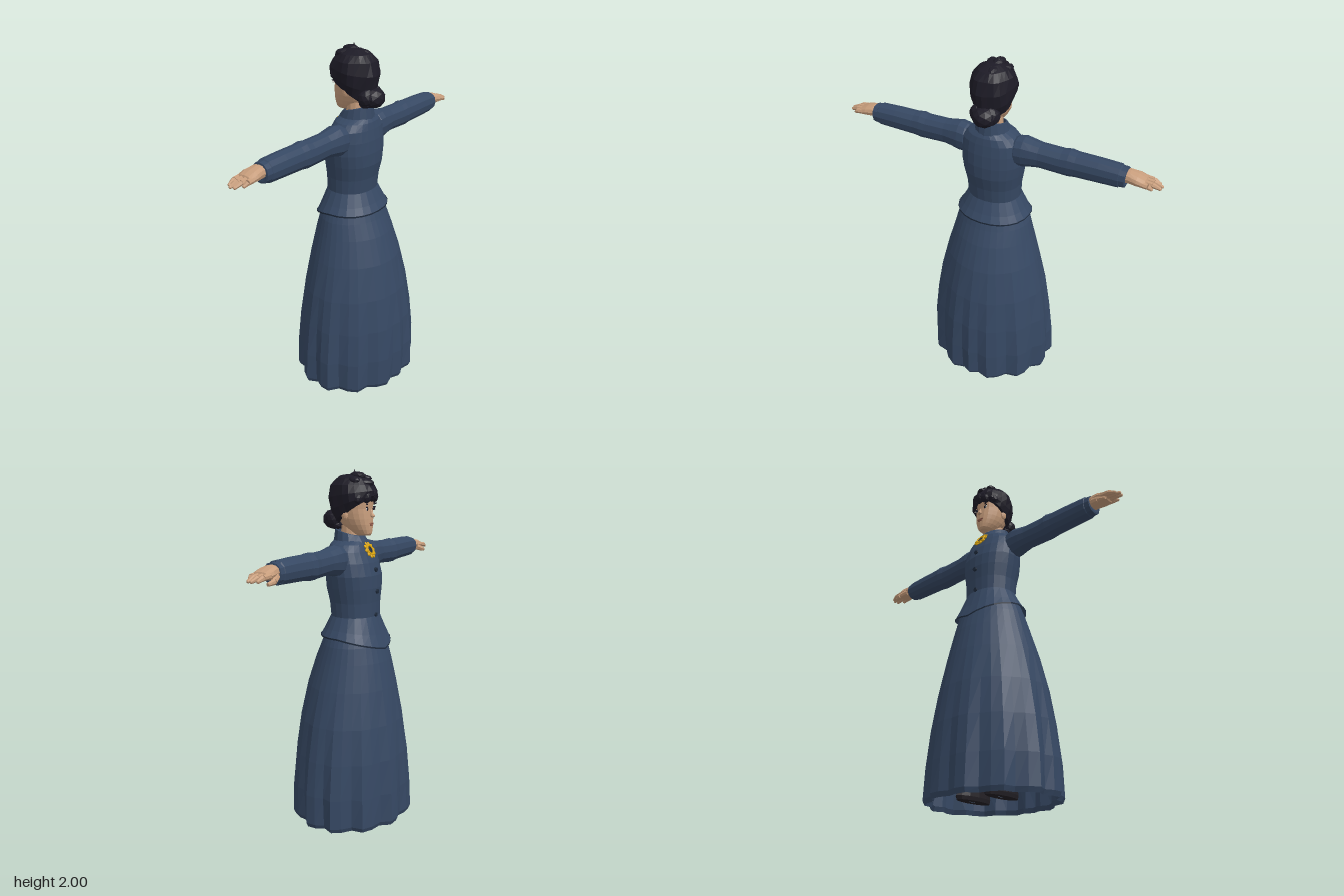
import * as THREE from 'three';

const mat = (name, color, side = THREE.FrontSide) => {
  const m = new THREE.MeshStandardMaterial({ color, flatShading: true, side });
  m.name = name;
  return m;
};
const cloth = mat('blue cloth', 0x364863, THREE.DoubleSide);
const trim = mat('dark blue trim', 0x1f2b3c, THREE.DoubleSide);
const skin = mat('skin', 0xc79d7c);
const hair = mat('black hair', 0x1d1b26, THREE.DoubleSide);
const gold = mat('gold', 0xd9a30c);
const boot = mat('boot leather', 0x221f24);
const white = mat('eye white', 0xd8d2ca);
const lip = mat('lip', 0x96604f);

// Skin over rings listed bottom to top: [y, halfWidth, zFront, zBack, xOffset, frontLift].
// Optional radial(angle, ring, column) scales each point outwards.
function loft(rings, n, { e = 1, radial = () => 1 } = {}) {
  const pos = [], index = [];
  const pow = v => Math.sign(v) * Math.abs(v) ** e;
  rings.forEach(([y, w, zf, zb, cx = 0, lift = 0], j) => {
    for (let i = 0; i < n; i++) {
      const a = (i / n) * Math.PI * 2, s = Math.sin(a), c = Math.cos(a), r = radial(a, j, i);
      const rise = typeof lift === 'function' ? lift(c) : -c * lift;
      pos.push(cx + w * pow(s) * r, y + rise, (zf + zb) / 2 + ((zb - zf) / 2) * pow(c) * r);
      if (j < rings.length - 1) {
        const p = j * n + i, q = j * n + (i + 1) % n;
        index.push(p, q, q + n, p, q + n, p + n);
      }
    }
  });
  const g = new THREE.BufferGeometry();
  g.setAttribute('position', new THREE.Float32BufferAttribute(pos, 3));
  g.setIndex(index);
  g.computeVertexNormals();
  return g;
}

function add(parent, name, geometry, material, [x, y, z] = [0, 0, 0], scale = [1, 1, 1], rot = [0, 0, 0]) {
  const m = new THREE.Mesh(geometry, material);
  m.name = name;
  m.position.set(x, y, z);
  m.scale.set(...scale);
  m.rotation.set(...rot);
  parent.add(m);
  return m;
}

// Tapered rod between two points
function limb(parent, name, a, b, r1, r2, material) {
  const A = new THREE.Vector3(...a), d = new THREE.Vector3(...b).sub(A);
  const m = add(parent, name, new THREE.CylinderGeometry(r2, r1, d.length(), 7), material);
  m.position.copy(A).addScaledVector(d, 0.5);
  m.quaternion.setFromUnitVectors(new THREE.Vector3(0, 1, 0), d.normalize());
}

const ball = new THREE.SphereGeometry(1, 10, 7);
const lump = new THREE.IcosahedronGeometry(1, 1);

function addSkirt(root) {
  // Long flared skirt whose pleats deepen towards the hem
  const rings = [
    [0.03, 0.375, -0.33, 0.335], [0.004, 0.387, -0.342, 0.348], [0.03, 0.398, -0.352, 0.36],
    [0.2, 0.392, -0.343, 0.356], [0.4, 0.367, -0.325, 0.338], [0.6, 0.331, -0.295, 0.306],
    [0.8, 0.28, -0.256, 0.26], [0.95, 0.237, -0.222, 0.21], [1.04, 0.214, -0.197, 0.172], [1.13, 0.18, -0.17, 0.14]];
  const n = 38, fold = [0, 0.35, 1];
  add(root, 'skirt', loft(rings, n, {
    e: 1.06,
    radial: (a, j, i) => {
      const t = Math.max(0, 1 - rings[j][0] / 0.95);
      return 1 - 0.095 * t ** 1.4 * fold[(Math.min(i, n - i) + 1) % 3];
    },
  }), cloth);
}

function addJacket(root) {
  // Fitted bodice with a hem falling to a point in front
  const dip = k => c => -0.07 * k * Math.max(0, 1 - Math.acos(-c) / (Math.PI * 0.5)) ** 1.15;
  const hem = { e: 0.92 };
  add(root, 'bodice', loft([
    [1.098, 0.195, -0.19, 0.15, 0, dip(1)], [1.09, 0.212, -0.21, 0.168, 0, dip(1)],
    [1.13, 0.187, -0.183, 0.145, 0, dip(0.5)], [1.2, 0.15, -0.148, 0.112], [1.28, 0.154, -0.15, 0.12],
    [1.36, 0.168, -0.156, 0.138], [1.43, 0.178, -0.153, 0.14], [1.5, 0.176, -0.134, 0.135],
    [1.56, 0.166, -0.108, 0.126], [1.597, 0.132, -0.092, 0.118], [1.62, 0.085, -0.075, 0.105]], 24, hem), cloth);
  add(root, 'jacketHem', loft([[1.084, 0.213, -0.211, 0.169, 0, dip(1)], [1.093, 0.213, -0.211, 0.169, 0, dip(1)]], 24, hem), trim);
  add(root, 'collar', loft([
    [1.595, 0.1, -0.094, 0.112], [1.615, 0.094, -0.084, 0.11], [1.662, 0.081, -0.062, 0.102, 0, -0.02],
    [1.664, 0.073, -0.054, 0.094, 0, -0.02], [1.62, 0.072, -0.06, 0.09]], 16), cloth);
  [[1.46, -0.146], [1.34, -0.156], [1.207, -0.148]].forEach(([y, z]) =>
    add(root, 'button', new THREE.CylinderGeometry(0.012, 0.014, 0.014, 10), trim, [0, y, z], [1, 1, 1], [-Math.PI / 2, 0, 0]));

  // Flower brooch at the throat
  const brooch = new THREE.Group();
  brooch.name = 'brooch';
  brooch.position.set(0, 1.567, -0.108);
  brooch.rotation.x = 0.5;
  root.add(brooch);
  add(brooch, 'broochRing', new THREE.TorusGeometry(0.027, 0.009, 6, 16), gold);
  add(brooch, 'broochCentre', ball, trim, [0, 0, 0], [0.022, 0.022, 0.008]);
  for (let i = 0; i < 10; i++) {
    const a = (i / 10) * Math.PI * 2;
    add(brooch, 'petal', ball, gold, [Math.cos(a) * 0.037, Math.sin(a) * 0.037, 0], [0.013, 0.01, 0.006], [0, 0, a]);
  }
}

function addArm(root, side) {
  const arm = new THREE.Group();
  arm.name = side > 0 ? 'leftArm' : 'rightArm';
  arm.scale.x = side;
  root.add(arm);
  const along = rings => loft(rings, 12, { e: 0.9 }).rotateZ(-Math.PI / 2).translate(0, 1.52, 0);
  // Sleeve with a gathered shoulder and an elbow crease
  add(arm, 'sleeve', along([
    [0.1, 0.05, -0.04, 0.06], [0.15, 0.08, -0.06, 0.08, 0.003], [0.19, 0.085, -0.062, 0.08, 0.001], [0.24, 0.074, -0.058, 0.074],
    [0.28, 0.068, -0.052, 0.068], [0.4, 0.069, -0.054, 0.066, 0.004], [0.44, 0.073, -0.06, 0.066, 0.003],
    [0.48, 0.067, -0.055, 0.064, 0.002], [0.6, 0.065, -0.052, 0.064], [0.71, 0.061, -0.05, 0.063],
    [0.715, 0.056, -0.045, 0.057]]), cloth);
  // Cuff closing on the wrist
  add(arm, 'cuff', along([[0.69, 0.05, -0.04, 0.055], [0.7, 0.055, -0.048, 0.062], [0.743, 0.053, -0.046, 0.06],
    [0.745, 0.043, -0.038, 0.05], [0.738, 0.01, -0.004, 0.01]]), cloth);
  // Hand, palm down
  add(arm, 'palm', along([[0.71, 0.036, -0.032, 0.044, -0.008], [0.76, 0.034, -0.042, 0.05, -0.01],
    [0.8, 0.03, -0.052, 0.057, -0.006], [0.84, 0.021, -0.048, 0.053, 0], [0.848, 0.004, -0.03, 0.035, 0]]), skin);
  [0.875, 0.912, 0.917, 0.9].forEach((tip, i) => {
    const z = 0.041 - i * 0.0255, mid = (0.835 + tip) / 2, end = z * 0.9;
    limb(arm, 'fingerBase', [0.82, 1.522, z], [mid, 1.518, z], 0.0155, 0.0145, skin);
    limb(arm, 'fingerTip', [mid, 1.518, z], [tip, 1.506, end], 0.0145, 0.009, skin);
    add(arm, 'fingerEnd', ball, skin, [tip, 1.506, end], [0.01, 0.009, 0.009]);
  });
  limb(arm, 'thumbBase', [0.765, 1.512, -0.033], [0.81, 1.495, -0.053], 0.019, 0.015, skin);
  limb(arm, 'thumbTip', [0.81, 1.495, -0.053], [0.852, 1.487, -0.048], 0.015, 0.009, skin);
}

function addHead(root) {
  add(root, 'neck', loft([[1.58, 0.06, -0.05, 0.075], [1.7, 0.052, -0.045, 0.065]], 12), skin);
  add(root, 'head', loft([
    [1.66, 0.01, -0.04, 0.0], [1.645, 0.026, -0.107, -0.03], [1.656, 0.04, -0.115, 0.0], [1.678, 0.056, -0.117, 0.03],
    [1.705, 0.07, -0.118, 0.06], [1.735, 0.08, -0.117, 0.08], [1.765, 0.085, -0.115, 0.09], [1.79, 0.088, -0.113, 0.1],
    [1.84, 0.09, -0.119, 0.1], [1.9, 0.08, -0.09, 0.09], [1.93, 0.02, -0.02, 0.02]], 20, { e: 0.9 }), skin);
  // Nose and mouth
  add(root, 'nose', new THREE.ConeGeometry(0.015, 0.05, 6), skin, [0, 1.772, -0.116], [1, 1, 1], [0.2, 0, 0]);
  add(root, 'noseTip', ball, skin, [0, 1.753, -0.124], [0.014, 0.01, 0.013]);
  add(root, 'upperLip', ball, lip, [0, 1.711, -0.117], [0.024, 0.005, 0.005]);
  add(root, 'lowerLip', ball, lip, [0, 1.702, -0.117], [0.019, 0.006, 0.005]);
  for (const s of [-1, 1]) {
    const turn = [0, s * 0.3, 0];
    add(root, 'eye', ball, white, [s * 0.036, 1.789, -0.108], [0.018, 0.009, 0.004], turn);
    add(root, 'iris', ball, hair, [s * 0.035, 1.789, -0.111], [0.0095, 0.0095, 0.004], turn);
    add(root, 'eyelid', ball, hair, [s * 0.037, 1.798, -0.109], [0.021, 0.004, 0.005], turn);
    add(root, 'eyebrow', ball, hair, [s * 0.038, 1.815, -0.11], [0.024, 0.005, 0.004], [0, s * 0.3, s * 0.12]);
    add(root, 'ear', ball, skin, [s * 0.088, 1.76, 0.002], [0.012, 0.032, 0.02], [0.2, 0, 0]);
  }
}

function addHair(root) {
  // Swept-up hair, higher at the forehead than at the nape
  add(root, 'hairCap', loft([
    [1.765, 0.078, -0.1, 0.08, 0, 0.07], [1.775, 0.101, -0.13, 0.1, 0, 0.068], [1.815, 0.115, -0.141, 0.128, 0, 0.045],
    [1.865, 0.118, -0.14, 0.14, 0, 0.02], [1.915, 0.106, -0.118, 0.124], [1.95, 0.077, -0.085, 0.09],
    [1.97, 0.035, -0.05, 0.045], [1.974, 0.003, -0.005, 0.005]], 24,
  { radial: (a, j) => 1 + 0.035 * Math.sin(6 * a + j * 1.1) }), hair);
  // Fringe rolls, then long locks swept back over the crown
  for (let i = -2; i <= 2; i++)
    add(root, 'fringeRoll', lump, hair, [i * 0.036, 1.864 - Math.abs(i) * 0.008, -0.117 + i * i * 0.011],
      [0.03, 0.038, 0.028], [0, 0, i * 0.35]);
  [[0.012, 1.963, -0.035, 0], [-0.03, 1.948, -0.045, 0.4], [0.05, 1.938, -0.03, -0.4],
    [-0.06, 1.925, 0.01, 0.3], [0.015, 1.948, 0.035, 0.2], [0.015, 1.925, -0.085, 0.7]].forEach(([x, y, z, turn]) =>
    add(root, 'crownLock', lump, hair, [x, y, z], [0.032, 0.023, 0.05], [0, turn, 0]));
  add(root, 'crownTip', new THREE.ConeGeometry(0.014, 0.04, 5), hair, [0.02, 1.98, -0.02], [1, 1, 1], [0, 0, 0.2]);
  // Low bun made of coiled locks
  add(root, 'bun', lump, hair, [0.005, 1.728, 0.122], [0.066, 0.056, 0.058]);
  for (const s of [-1, 1]) {
    add(root, 'bunLock', lump, hair, [s * 0.042, 1.738, 0.1], [0.04, 0.05, 0.045], [0, 0, s * 0.4]);
    add(root, 'napeLock', lump, hair, [s * 0.028, 1.7, 0.09], [0.036, 0.028, 0.036]);
  }
}

function addLeg(root, side) {
  const leg = new THREE.Group();
  leg.name = side > 0 ? 'leftLeg' : 'rightLeg';
  leg.position.set(side * 0.1, 0.022, 0);
  root.add(leg);
  add(leg, 'boot', loft([
    [0, 0.005, -0.07, -0.03], [0, 0.04, -0.16, 0.075], [0.02, 0.044, -0.168, 0.08], [0.045, 0.041, -0.155, 0.075],
    [0.075, 0.038, -0.09, 0.066], [0.12, 0.037, -0.04, 0.058], [0.32, 0.05, -0.042, 0.065]], 12), boot);
  limb(leg, 'stocking', [0, 0.28, 0.01], [0, 1.0, 0], 0.047, 0.075, boot);
}

export function createModel() {
  const root = new THREE.Group();
  root.name = 'womanInLongDress';
  addSkirt(root);
  addJacket(root);
  addHead(root);
  addHair(root);
  for (const side of [-1, 1]) {
    addArm(root, side);
    addLeg(root, side);
  }
  return root;
}
